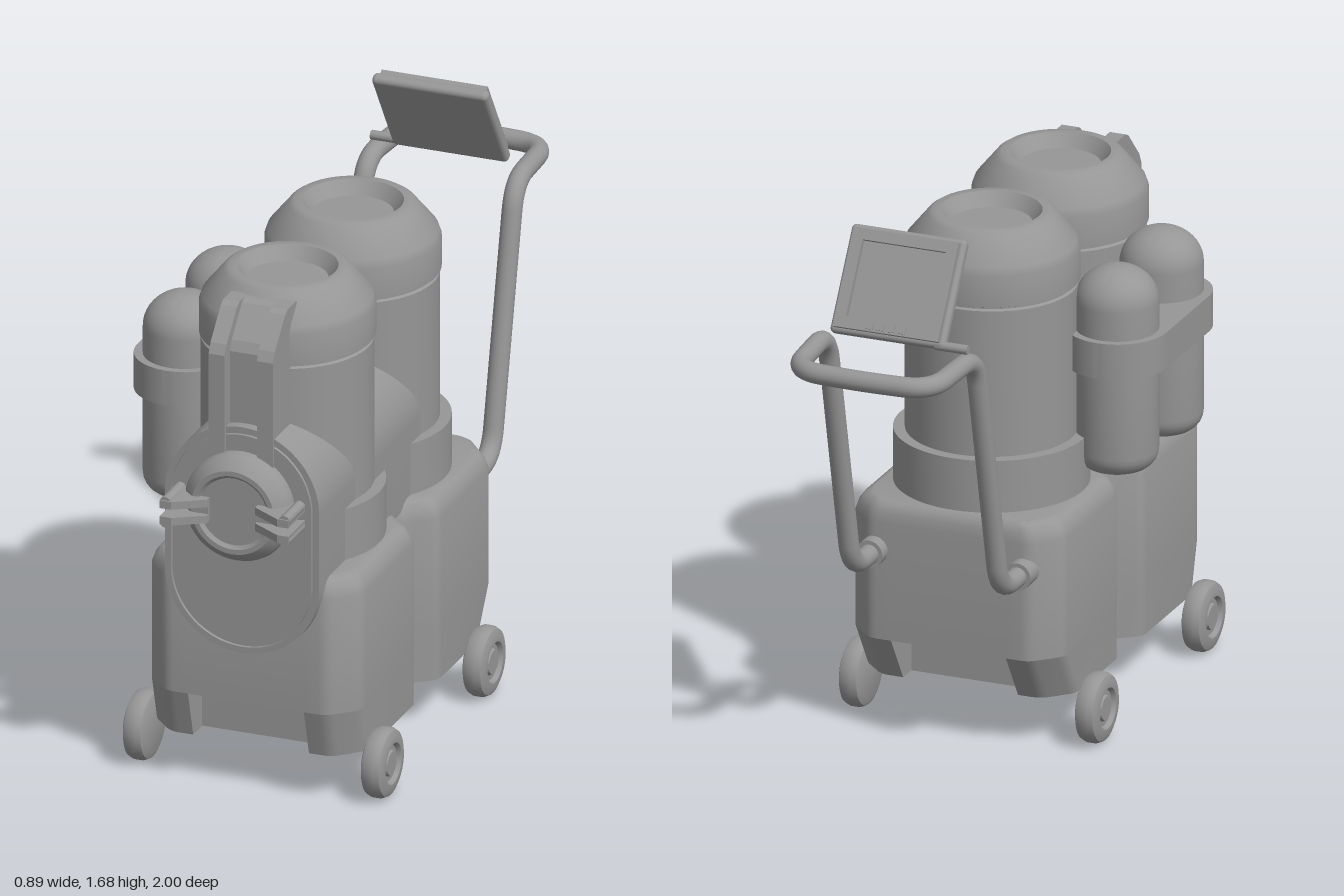
import * as THREE from 'three';
import { toCreasedNormals } from 'three/addons/utils/BufferGeometryUtils.js';
import { RoundedBoxGeometry } from 'three/addons/geometries/RoundedBoxGeometry.js';

const CX = 0.045; // centre line of the main body
const V2 = (x, y) => new THREE.Vector2(x, y);
const V3 = (x, y, z) => new THREE.Vector3(x, y, z);

export function createModel() {
  const root = new THREE.Group();
  const grey = new THREE.MeshStandardMaterial({ color: 0x969696 });

  const add = (name, geo, x = 0, y = 0, z = 0, parent = root) => {
    const mesh = new THREE.Mesh(geo, grey);
    mesh.name = name;
    mesh.position.set(x, y, z);
    parent.add(mesh);
    return mesh;
  };
  const crease = (geo) => toCreasedNormals(geo, 0.6);
  const lathe = (pts, seg = 48) => crease(new THREE.LatheGeometry(pts.map((p) => V2(...p)), seg));
  const polygon = (pts) => new THREE.Shape(pts.map((p) => V2(...p)));
  const extrude = (shape, depth) =>
    new THREE.ExtrudeGeometry(shape, { depth, bevelEnabled: false, curveSegments: 24 });
  // profile given as (z, y), extruded along x about its centre
  const extrudeX = (pts, width) =>
    extrude(polygon(pts), width).translate(0, 0, -width / 2).rotateY(-Math.PI / 2);

  // upright stadium outline: radius r, arc centres at y0 and y1
  const stadium = (r, y0, y1) => {
    const s = new THREE.Shape();
    s.absarc(0, y1, r, 0, Math.PI);
    s.absarc(0, y0, r, Math.PI, Math.PI * 2);
    s.closePath();
    return s;
  };

  // solid through horizontal rings of (x, z) points
  const loft = (layers) => {
    const pos = [];
    const tri = (...p) => p.forEach((q) => pos.push(...q));
    const rings = layers.map(([y, ring]) => ring.map(([x, z]) => [x, y, z]));
    for (let k = 0; k < rings.length - 1; k++) {
      const a = rings[k], b = rings[k + 1], n = a.length;
      for (let i = 0; i < n; i++) {
        const j = (i + 1) % n;
        tri(a[i], a[j], b[j]);
        tri(a[i], b[j], b[i]);
      }
    }
    const cap = (ring, up) => {
      const flat = ring.map((p) => V2(p[0], p[2]));
      for (const [a, b, c] of THREE.ShapeUtils.triangulateShape(flat, [])) {
        const facesUp = THREE.ShapeUtils.area([flat[a], flat[b], flat[c]]) < 0;
        if (facesUp === up) tri(ring[a], ring[b], ring[c]);
        else tri(ring[a], ring[c], ring[b]);
      }
    };
    cap(rings[0], false);
    cap(rings[rings.length - 1], true);
    const geo = new THREE.BufferGeometry();
    geo.setAttribute('position', new THREE.Float32BufferAttribute(pos, 3));
    return crease(geo);
  };

  // rounds the inner corners of an open polyline
  const soften = (pts, trim) => pts.flatMap((p, i) => {
    if (i === 0 || i === pts.length - 1) return [p];
    const c = V2(...p);
    const toward = (q) => V2(...q).sub(c).setLength(trim).add(c);
    const curve = new THREE.QuadraticBezierCurve(toward(pts[i - 1]), c, toward(pts[i + 1]));
    return curve.getPoints(4).map((q) => [q.x, q.y]);
  });

  // Base: waisted plan with softened corners, lower layer notched at both ends
  const plan = (front, back, inset, notch) => {
    const w = 0.33 - inset, n = 0.25 - inset, e = 0.25 - inset / 2;
    const outer = soften([
      [0.18, front], [e, front], [w, front - 0.08], [w, 0.34 + inset / 2], [n, 0.28],
      [n, 0.22], [w, 0.16 - inset / 2], [w, back + 0.08], [e, back], [0.18, back],
    ], 0.025);
    const half = notch ? [[0.18, 0.72], ...outer, [0.18, -0.17]] : outer;
    return [...half, ...half.map(([x, z]) => [-x, z]).reverse()];
  };
  add('baseLower', loft([[0.155, plan(0.79, -0.23, 0, true)], [0.3, plan(0.83, -0.32, 0, true)]]), CX);
  add('baseUpper', loft([
    [0.3, plan(0.83, -0.32, 0)], [0.66, plan(0.83, -0.32, 0)], [0.69, plan(0.822, -0.316, 0.01)],
    [0.711, plan(0.811, -0.308, 0.025)], [0.72, plan(0.797, -0.297, 0.045)],
  ]), CX);

  // Two large canisters with collars and dished caps
  const canister = lathe([
    [0.285, 0.7], [0.285, 0.88], [0.251, 0.88], [0.251, 1.33], [0.244, 1.335], [0.244, 1.34],
    [0.256, 1.345], [0.256, 1.44], [0.248, 1.463], [0.185, 1.54], [0.17, 1.55],
    [0.147, 1.55], [0.118, 1.51], [0, 1.51],
  ], 64);
  add('rearCanister', canister, CX, 0, 0);
  add('frontCanister', canister, CX, 0, 0.507);

  // Round-topped housing that runs between the canisters to the rimmed front panel
  add('housing', crease(extrude(stadium(0.24, 0.71, 0.94), 0.85)), CX);
  const rim = stadium(0.24, 0.71, 0.94);
  rim.holes.push(stadium(0.221, 0.71, 0.94));
  add('panelRim', crease(extrude(rim, 0.01)), CX, 0, 0.85);
  add('panelFace', crease(extrude(stadium(0.215, 0.71, 0.94), 0.01)), CX, 0, 0.85);

  // Front spine: two ribs with a recessed strip
  const spine = (d) => [
    [0.6, 1.02], [0.87 - d, 1.02], [0.87 - d, 1.4], [0.855 - d, 1.43],
    [0.775 - d, 1.515], [0.755 - d, 1.525], [0.69, 1.525], [0.6, 1.44],
  ];
  for (const s of [-1, 1]) add('spineRib', extrudeX(spine(0), 0.05), CX + s * 0.075, 0, 0);
  add('spineStrip', extrudeX(spine(0.04), 0.11), CX, 0, 0);

  // Front knob with clip plates on both sides
  const knob = lathe([
    [0.165, 0], [0.165, 0.04], [0.158, 0.055], [0.13, 0.08], [0.115, 0.08], [0.105, 0.07], [0, 0.07],
  ]).rotateX(Math.PI / 2);
  add('knob', knob, CX, 0.94, 0.855);
  const clip = [[0.2, -0.87], [0.2, -1], [0.165, -1], [0.075, -0.945], [0.075, -0.9]];
  for (const s of [-1, 1]) {
    const pts = clip.map(([x, z]) => [s * x, z]);
    for (const y of [0.9, 0.95]) {
      add('clipPlate', extrude(polygon(pts), 0.024).rotateX(-Math.PI / 2), CX, y, 0);
      const pin = new THREE.CylinderGeometry(0.017, 0.017, 0.12, 16).rotateX(Math.PI / 2);
      add('clipPin', pin, CX + s * 0.185, y < 0.92 ? 0.905 : 0.968, 0.935);
    }
    add('clipWeb', new THREE.BoxGeometry(0.05, 0.05, 0.05), CX + s * 0.1, 0.937, 0.91);
  }

  // Small side bottles held by a band
  const bottlePts = [[0, 0.76], [0.05, 0.763]];
  for (let i = 0; i <= 6; i++) {
    const a = (i / 6) * Math.PI / 2;
    bottlePts.push([0.06 + 0.062 * Math.sin(a), 0.825 - 0.062 * Math.cos(a)]);
  }
  for (let i = 0; i <= 12; i++) {
    const a = (i / 12) * Math.PI / 2;
    bottlePts.push([0.122 * Math.cos(a), 1.28 + 0.107 * Math.sin(a)]);
  }
  const bottle = lathe(bottlePts);
  for (const z of [0.12, 0.45]) add('sideBottle', bottle, -0.297, 0, z);
  add('bottleBand', crease(extrude(stadium(0.15, -0.445, -0.125), 0.11).rotateX(-Math.PI / 2)), -0.297, 1.085, 0);
  add('bandMount', new THREE.BoxGeometry(0.2, 0.11, 0.3), -0.2, 1.14, 0.28);

  // Wheels
  const tyre = lathe([
    [0, -0.035], [0.08, -0.035], [0.098, -0.027], [0.105, -0.012], [0.105, 0.012], [0.098, 0.027],
    [0.08, 0.035], [0.062, 0.035], [0.054, 0.022], [0.04, 0.022], [0.036, 0.03], [0, 0.03],
  ], 32);
  for (const z of [0.67, -0.118]) {
    for (const s of [-1, 1]) {
      add('wheel', tyre, 0.035 + s * 0.37, 0.108, z).rotation.z = -s * Math.PI / 2;
    }
  }

  // Push handle: polyline with rounded corners and a slightly bowed grip
  const side = [[0.232, 0.575, -0.3], [0.232, 0.575, -0.49], [0.232, 1.372, -0.672], [0.215, 1.365, -0.96]];
  const corners = [
    ...side.map(([x, y, z]) => V3(-x, y, z)),
    V3(0, 1.365, -0.972),
    ...side.map(([x, y, z]) => V3(x, y, z)).reverse(),
  ];
  const path = new THREE.CurvePath();
  let from = corners[0];
  for (let i = 1; i < corners.length - 1; i++) {
    const c = corners[i];
    const toward = (p) => c.clone().add(p.clone().sub(c).setLength(0.09));
    const a = toward(corners[i - 1]), b = toward(corners[i + 1]);
    path.add(new THREE.LineCurve3(from, a));
    path.add(new THREE.QuadraticBezierCurve3(a, c, b));
    from = b;
  }
  path.add(new THREE.LineCurve3(from, corners[corners.length - 1]));
  add('pushHandle', new THREE.TubeGeometry(path, 260, 0.03, 16), CX);
  for (const s of [-1, 1]) {
    const socket = new THREE.CylinderGeometry(0.042, 0.042, 0.1, 24).rotateX(Math.PI / 2);
    add('handleSocket', socket, CX + s * 0.232, 0.575, -0.31);
  }

  // Tilted control screen facing the user
  const screen = new THREE.Group();
  screen.name = 'controlScreen';
  screen.position.set(0.055, 1.547, -0.663);
  screen.rotation.x = 0.562;
  root.add(screen);
  add('screenBody', new RoundedBoxGeometry(0.36, 0.325, 0.036, 3, 0.014), 0, 0, 0.007, screen);
  const bezel = polygon([[-0.165, -0.148], [0.165, -0.148], [0.165, 0.148], [-0.165, 0.148]]);
  bezel.holes.push(polygon([[-0.13, -0.112], [-0.13, 0.115], [0.13, 0.115], [0.13, -0.112]]));
  add('screenBezel', extrude(bezel, 0.02), 0, 0, -0.028, screen);
  for (let i = 0; i < 4; i++) {
    add('button', new THREE.BoxGeometry(0.022, 0.022, 0.01), (i - 1.5) * 0.034, -0.131, -0.028, screen);
  }
  const stub = new THREE.CylinderGeometry(0.014, 0.014, 0.1, 16).rotateZ(Math.PI / 2);
  add('screenStub', stub, -0.145, 1.415, -0.74);

  return root;
}
